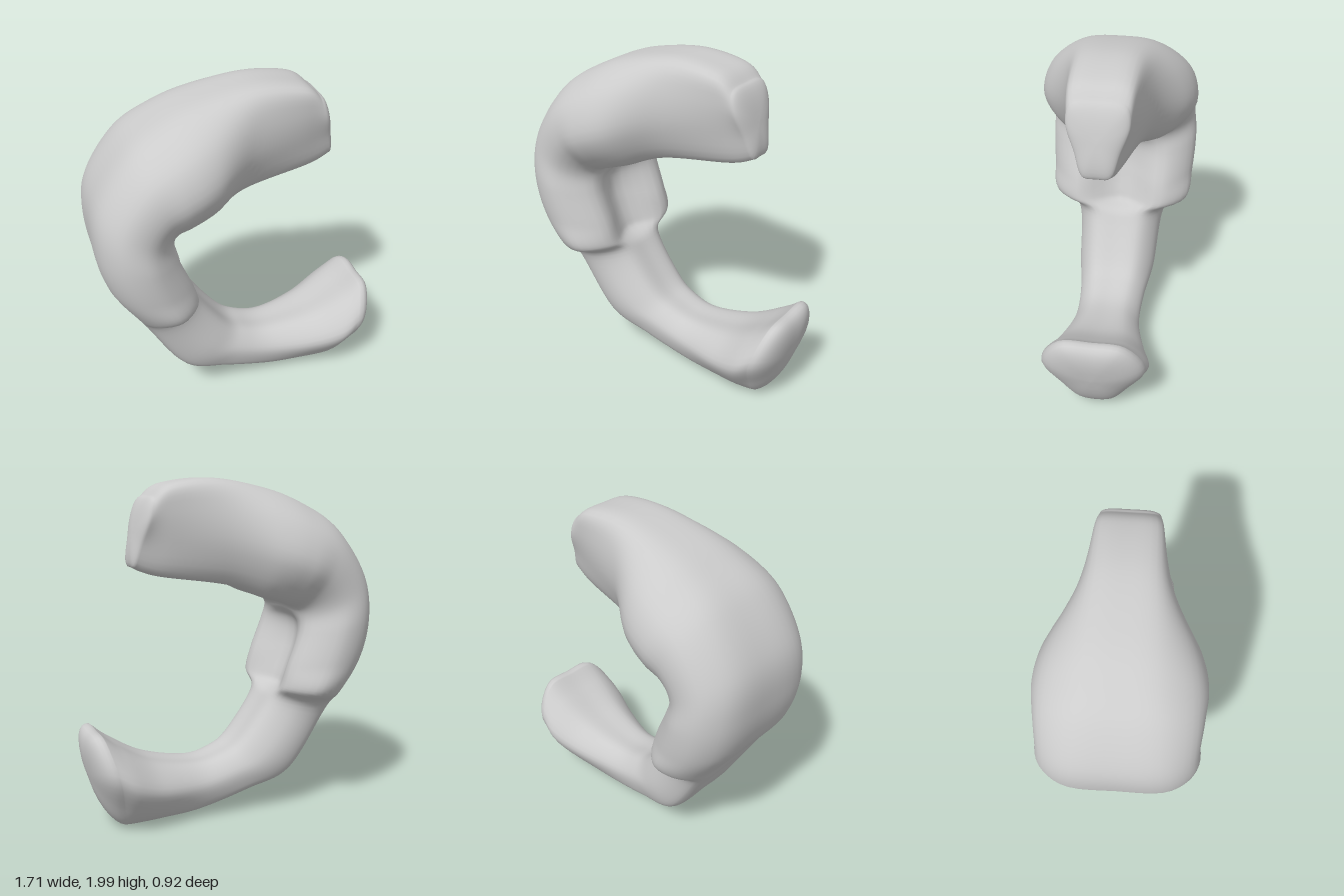
import * as THREE from 'three';

// Cross-sections along the C from the upper tip to the lower tip:
// outer x, y, inner x, y, half widths of the outer edge, outer flank and inner flank
const SECTIONS = [
  [0.46, 1.90, 0.555, 1.51, 0.14, 0.165, 0.12],
  [0.36, 1.97, 0.42, 1.46, 0.16, 0.18, 0.15],
  [0.10, 2.00, 0.02, 1.40, 0.17, 0.24, 0.25],
  [-0.20, 1.95, -0.18, 1.33, 0.20, 0.36, 0.41],
  [-0.42, 1.87, -0.31, 1.285, 0.22, 0.41, 0.455],
  [-0.63, 1.73, -0.385, 1.25, 0.25, 0.42, 0.44],
  [-0.81, 1.46, -0.405, 1.19, 0.27, 0.42, 0.43],
  [-0.84, 1.20, -0.385, 1.10, 0.30, 0.435, 0.45],
  [-0.79, 0.96, -0.31, 0.92, 0.30, 0.43, 0.44],
  [-0.66, 0.75, -0.275, 0.79, 0.29, 0.40, 0.42],
  [-0.59, 0.62, -0.26, 0.69, 0.24, 0.28, 0.26],
  [-0.37, 0.26, -0.08, 0.45, 0.20, 0.24, 0.23],
  [-0.10, 0.15, 0.05, 0.37, 0.17, 0.20, 0.20],
  [0.20, 0.055, 0.22, 0.34, 0.13, 0.18, 0.20],
  [0.42, 0.025, 0.48, 0.39, 0.11, 0.20, 0.26],
  [0.57, 0.01, 0.68, 0.50, 0.10, 0.22, 0.31],
  [0.65, 0.01, 0.79, 0.59, 0.10, 0.20, 0.30],
];
const AROUND = 48, STEPS = 8, CAP = 8;

// Smooth interpolation of a whole section
function sectionAt(s) {
  const n = SECTIONS.length - 1, i = Math.min(Math.floor(s), n - 1), u = s - i;
  const at = (k) => SECTIONS[Math.max(0, Math.min(n, k))];
  return at(i).map((p1, f) => {
    const p0 = at(i - 1)[f], p2 = at(i + 1)[f], p3 = at(i + 2)[f];
    return p1 + 0.5 * u * (p2 - p0 + u * (2 * p0 - 5 * p1 + 4 * p2 - p3 + u * (3 * (p1 - p2) + p3 - p0)));
  });
}

// Closed, mirrored outline of one section; the back carries a groove between its cheeks
function ringAt(s) {
  const [ox, oy, ix, iy, edge, outerFlank, innerFlank] = sectionAt(s);
  const { smoothstep } = THREE.MathUtils;
  const groove = 0.28 * smoothstep(s, 5.3, 7.8) * (1 - smoothstep(s, 9, 10));
  const side = [[0.04, edge], [0.28, outerFlank], [0.64, innerFlank], [0.98, 0.6 * innerFlank]];
  const outline = [[0, 0], ...side, [1 - groove, 0], ...side.map(([t, z]) => [t, -z]).reverse()];
  const curve = new THREE.CatmullRomCurve3(
    outline.map(([t, z]) => new THREE.Vector3(ox + (ix - ox) * t, oy + (iy - oy) * t, z)), true);
  return Array.from({ length: AROUND }, (_, j) => curve.getPoint(j / AROUND));
}

// Rounded end: rings that shrink towards an apex
function capRings(ring, apex) {
  const centre = ring.reduce((sum, p) => sum.add(p), new THREE.Vector3()).divideScalar(AROUND);
  const reach = apex.clone().sub(centre);
  return Array.from({ length: CAP }, (_, k) => {
    const angle = (k + 1) / CAP * Math.PI / 2;
    const shrink = k === CAP - 1 ? 0 : Math.cos(angle) ** 0.8;
    return ring.map((p) => p.clone().sub(centre).multiplyScalar(shrink)
      .add(centre).addScaledVector(reach, Math.sin(angle)));
  });
}

// Skin over the rings
function loft(rings) {
  const positions = rings.flat().flatMap((p) => p.toArray());
  const index = [];
  for (let i = 0; i < rings.length - 1; i++) {
    for (let j = 0; j < AROUND; j++) {
      const k = (j + 1) % AROUND, p = i * AROUND, q = p + AROUND;
      index.push(p + j, q + j, q + k, p + j, q + k, p + k);
    }
  }
  const geometry = new THREE.BufferGeometry();
  geometry.setAttribute('position', new THREE.Float32BufferAttribute(positions, 3));
  geometry.setIndex(index);
  geometry.computeVertexNormals();
  return geometry;
}

export function createModel() {
  const group = new THREE.Group();
  group.name = 'openClasp';
  const count = (SECTIONS.length - 1) * STEPS;
  const body = Array.from({ length: count + 1 }, (_, i) => ringAt(i / STEPS));
  const upperCap = capRings(body[0], new THREE.Vector3(0.55, 1.71, 0)).reverse();
  const lowerCap = capRings(body[count], new THREE.Vector3(0.84, 0.33, 0));

  // One continuous hooked body with grooved cheeks and two rounded tips
  const mesh = new THREE.Mesh(loft([...upperCap, ...body, ...lowerCap]),
    new THREE.MeshStandardMaterial({ color: 0xcccccc }));
  mesh.name = 'hookedBody';
  group.add(mesh);
  return group;
}
